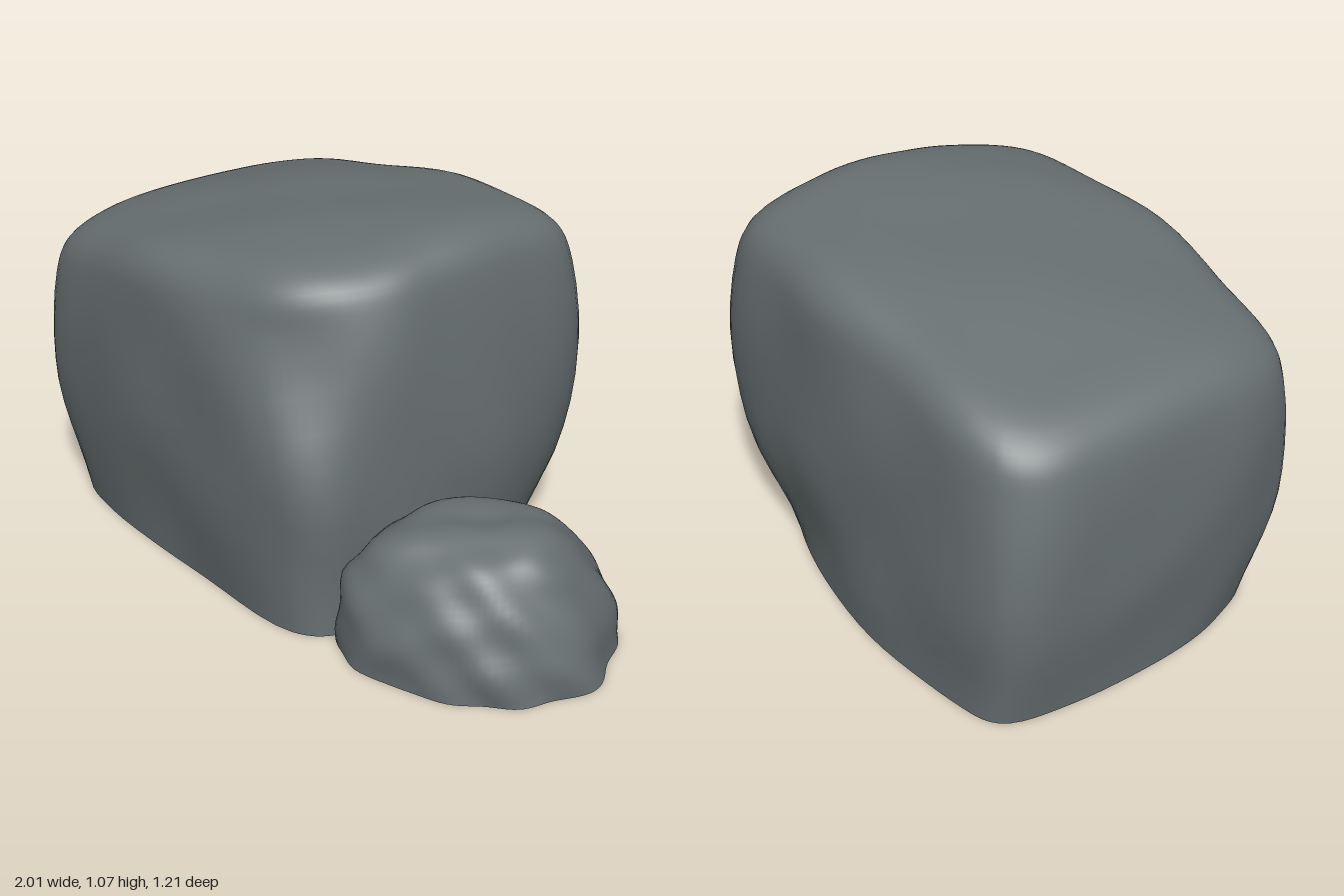
import * as THREE from 'three';

const stone = new THREE.MeshStandardMaterial({ color: 0x687072, roughness: 1 });
const AROUND = 96;
const STEPS = 5;

// Smooth surface ripple in three directions
const ripple = (x, y, z, f) =>
  (Math.sin(f * x + 0.6 * f * y + 0.7) * Math.cos(1.1 * f * z - 0.9 * f * y + 2.1) +
   0.6 * Math.sin(1.5 * f * y - 1.2 * f * z + 4) * Math.cos(1.4 * f * x + 0.5)) / 1.6;

// Lofts closed [x, z] outlines at rising levels, then closes the crown with shrinking loops.
// Outlines turn from +x towards +z.
// levels: [height fraction, outline]; crown: [height fraction, scale]; topAt(x, z): full height
function makeRock(name, levels, crown, topAt, bump, freq) {
  const loops = levels.map(([y, outline]) =>
    new THREE.CatmullRomCurve3(outline.map(([x, z]) => new THREE.Vector3(x, y, z)), true)
      .getPoints(AROUND).slice(0, AROUND));
  const last = loops[loops.length - 1];
  const centre = last.reduce((s, p) => s.add(p), new THREE.Vector3()).divideScalar(AROUND);
  for (const [y, s] of crown) {
    loops.push(last.map(p => new THREE.Vector3(
      centre.x + (p.x - centre.x) * s, y, centre.z + (p.z - centre.z) * s)));
  }

  const rows = (loops.length - 1) * STEPS;
  const columns = last.map((_, i) =>
    new THREE.CatmullRomCurve3(loops.map(l => l[i])).getPoints(rows));
  const pos = [], index = [];
  for (let j = 0; j <= rows; j++) {
    for (let i = 0; i < AROUND; i++) {
      const p = columns[i][j].clone();
      p.y = Math.max(0, p.y) * topAt(p.x, p.z);
      const n = bump * ripple(p.x, p.y, p.z, freq);
      const out = new THREE.Vector3(p.x - centre.x, 0, p.z - centre.z);
      p.addScaledVector(out, n / Math.max(out.length(), 0.25));
      p.y += n * 0.8 * (j / rows);
      pos.push(p.x, p.y, p.z);
      if (j < rows) {
        const a = j * AROUND + i, b = j * AROUND + (i + 1) % AROUND;
        index.push(a, a + AROUND, b, b, a + AROUND, b + AROUND);
      }
    }
  }
  // Closing point of the crown
  const tip = pos.length / 3, ring = rows * AROUND;
  let tipY = 0;
  for (let i = 0; i < AROUND; i++) {
    tipY += pos[(ring + i) * 3 + 1] / AROUND;
    index.push(ring + i, tip, ring + (i + 1) % AROUND);
  }
  pos.push(centre.x, tipY, centre.z);

  const geo = new THREE.BufferGeometry();
  geo.setAttribute('position', new THREE.Float32BufferAttribute(pos, 3));
  geo.setIndex(index);
  geo.computeVertexNormals();

  // Flat underside
  const foot = [];
  for (let i = 0; i < AROUND; i++) foot.push(new THREE.Vector2(pos[i * 3], pos[i * 3 + 2]));
  const base = new THREE.ShapeGeometry(new THREE.Shape(foot)).rotateX(Math.PI / 2);

  const group = new THREE.Group();
  group.name = name;
  const body = new THREE.Mesh(geo, stone);
  body.name = name + 'Surface';
  const under = new THREE.Mesh(base, stone);
  under.name = name + 'Underside';
  group.add(body, under);
  return group;
}

export function createModel() {
  const model = new THREE.Group();
  model.name = 'rocks';

  // Large blocky boulder: foot, belly and shoulder outlines
  const foot = [[.40, .1], [.36, .35], [.32, .5], [.22, .56], [-.25, .53], [-.65, .46], [-.88, .37], [-.94, .2],
    [-.95, -.05], [-.92, -.35], [-.84, -.55], [-.7, -.59], [-.35, -.57], [.05, -.47], [.28, -.34], [.39, -.18]];
  const belly = [[.43, .1], [.37, .36], [.32, .52], [.22, .59], [-.25, .57], [-.65, .51], [-.94, .43], [-.98, .3],
    [-.99, .05], [-.97, -.3], [-.92, -.52], [-.84, -.59], [-.4, -.58], [.05, -.53], [.39, -.45], [.455, -.15]];
  const shoulder = [[.39, .1], [.36, .27], [.25, .42], [.08, .54], [-.25, .56], [-.65, .5], [-.92, .42], [-.98, .25],
    [-.98, .05], [-.95, -.25], [-.9, -.46], [-.8, -.55], [-.4, -.55], [.05, -.51], [.385, -.435], [.41, -.15]];
  model.add(makeRock('boulder',
    [[0, foot], [.42, belly], [.84, shoulder]],
    [[.945, .95], [.99, .85], [1, .6], [1, .3], [1, .04]],
    (x, z) => 1.06 - .19 * ((.2 - x) / 1.15) ** 2 - .04 * (z / .45) ** 2,
    .013, 8));

  // Small rounded rock beside it
  const smallFoot = [[.39, .1], [.5, -.02], [.68, -.085], [.8, -.11], [.9, -.04], [.965, .08], [1, .22],
    [.97, .34], [.88, .46], [.75, .535], [.6, .57], [.45, .57], [.34, .49], [.33, .3]];
  const around = (s, dx, dz) => smallFoot.map(([x, z]) => [.64 + (x - .64) * s + dx, .24 + (z - .24) * s + dz]);
  model.add(makeRock('smallRock',
    [[0, smallFoot], [.3, around(.97, -.01, .01)], [.62, around(.86, -.03, .01)]],
    [[.85, .8], [.96, .6], [1, .3], [1, .04]],
    (x, z) => .385 - .25 * (z - .26) ** 2,
    .015, 20));

  return model;
}
